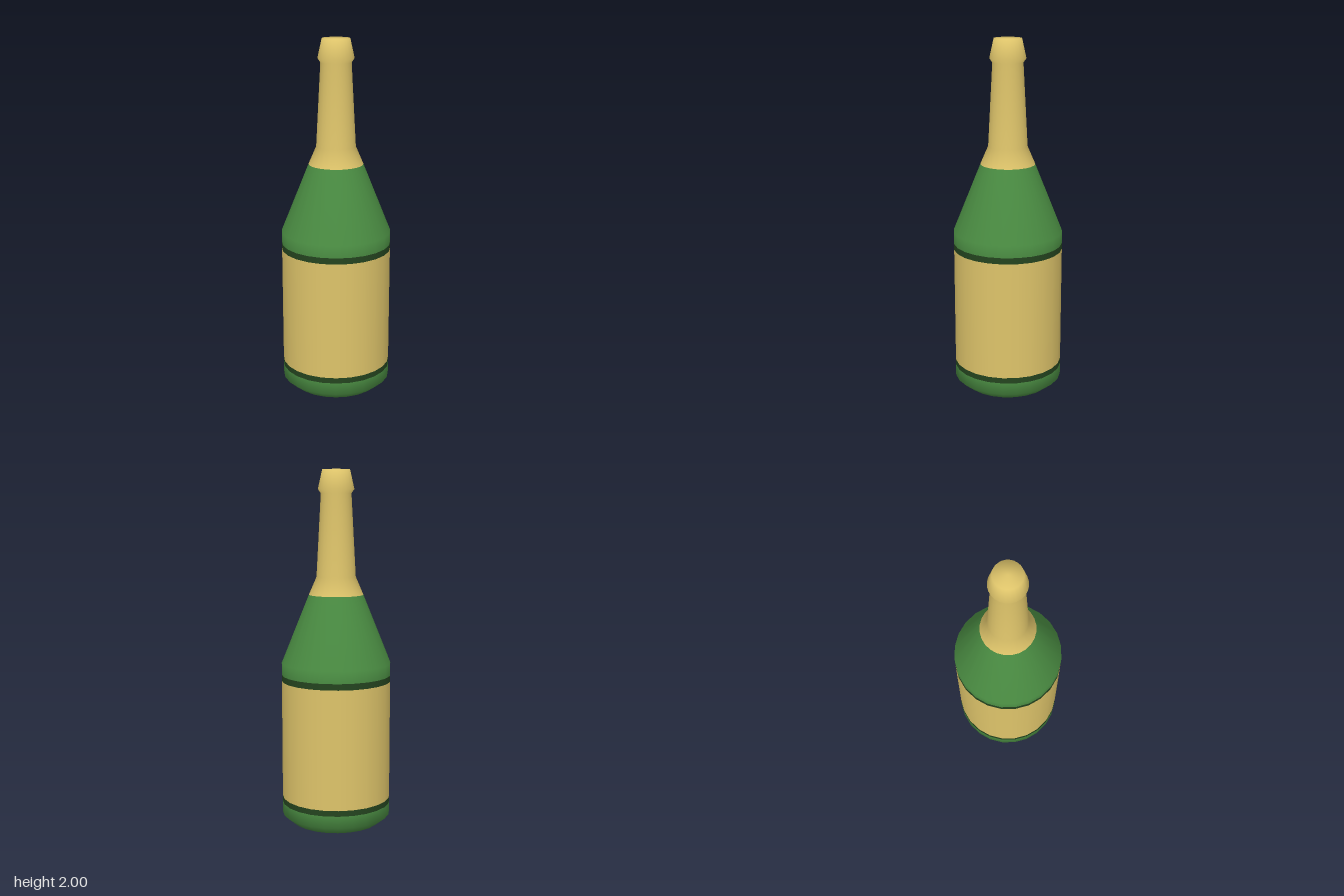
import * as THREE from 'three';

const SIDES = 24;
const GREEN = 0x4a8c42, DARK = 0x24441f, GOLD = 0xdec46a;

// One coloured section of the bottle, turned from [radius, height] points
function section(name, color, points) {
  const geometry = new THREE.LatheGeometry(points.map(([r, y]) => new THREE.Vector2(r, y)), SIDES);
  const mesh = new THREE.Mesh(geometry, new THREE.MeshStandardMaterial({ color }));
  mesh.name = name;
  return mesh;
}

export function createModel() {
  const bottle = new THREE.Group();
  bottle.name = 'bottle';
  const R = 0.308;

  bottle.add(
    // Glass body with a chamfered foot
    section('base', GREEN, [[0, 0], [0.25, 0.003], [R, 0.05], [R, 0.118]]),
    section('lowerLabelBorder', DARK, [[R, 0.118], [R, 0.15]]),
    section('label', GOLD, [[R, 0.15], [R, 0.822]]),
    section('upperLabelBorder', DARK, [[R, 0.822], [R, 0.857]]),
    section('shoulder', GREEN, [[R, 0.857], [R, 0.925], [0.153, 1.31]]),
    // Foil over the neck, ending in a flared cap
    section('neckFoil', GOLD, [
      [0.153, 1.31], [0.11, 1.41], [0.085, 1.87], [0.101, 1.893], [0.077, 2], [0, 2],
    ]),
  );
  return bottle;
}
